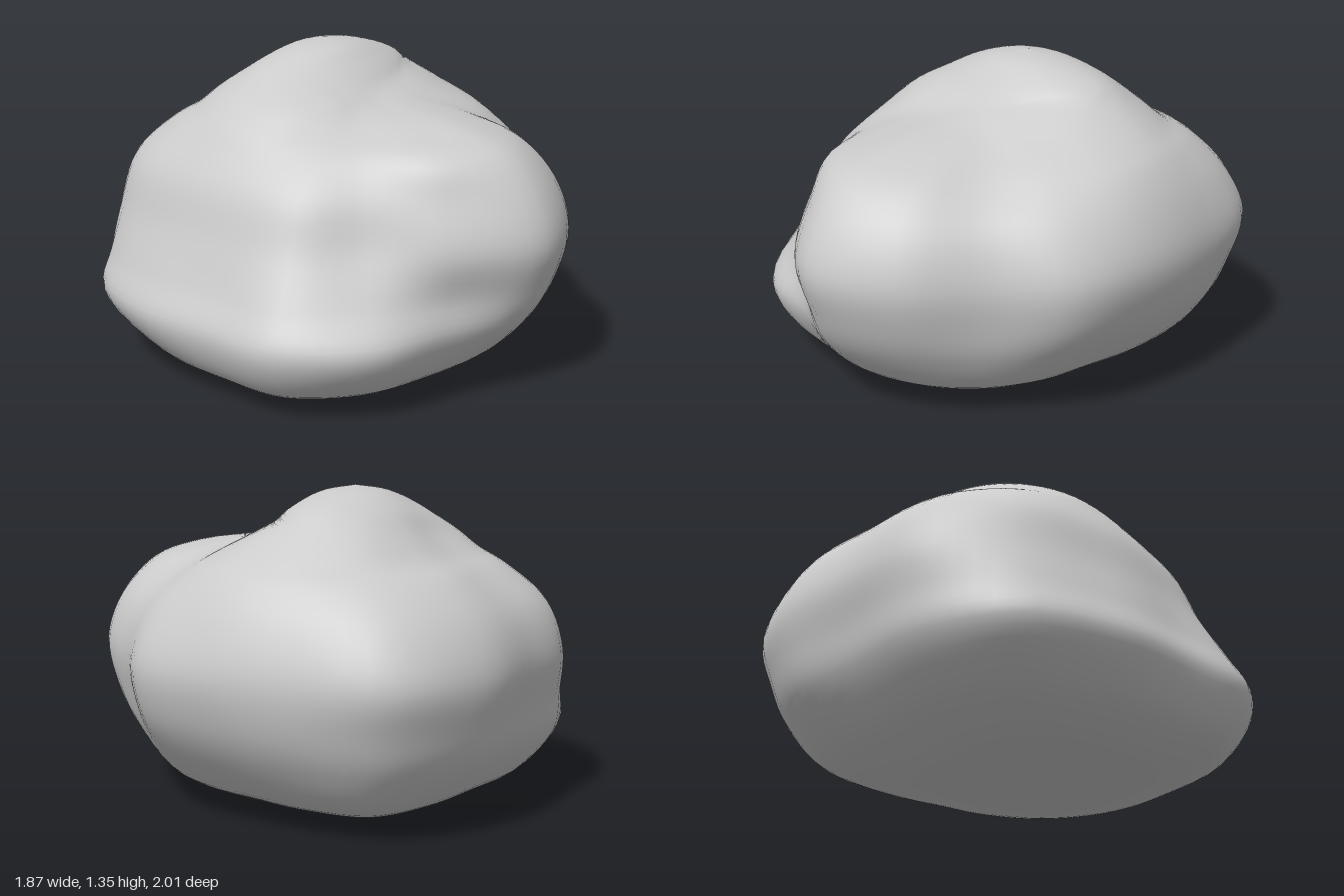
import * as THREE from 'three';
import { mergeVertices } from 'three/addons/utils/BufferGeometryUtils.js';

const SIDES = 16;   // control directions, from +x (0) over +z (4), -x (8), -z (12)
const COLS = 80;    // final columns around
const STEPS = 5;    // final rows between two cross-sections

// Horizontal cross-sections: height, then the radius in each control direction
const lower = [
  [0.12, [.61, .61, .63, .66, .69, .72, .83, .90, .86, .90, .95, .87, .78, .80, .84, .70]],
  [0.30, [.79, .78, .76, .82, .87, .83, .94, .99, .935, 1.01, 1.10, 1.02, .92, .98, 1.0, .87]],
  [0.46, [.88, .87, .81, .90, .95, .82, .84, .91, .87, .95, 1.06, 1.04, .96, 1.04, 1.07, .95]],
  [0.65, [.92, .90, .83, .94, 1.0, .85, .74, .80, .80, .87, 1.0, 1.05, .995, 1.07, 1.12, .98]],
];
const upper = [
  [0.85, [.86, .81, .76, .87, .93, .78, .67, .71, .73, .80, .93, .98, .93, .99, 1.03, .92]],
  [1.00, [.76, .66, .59, .72, .80, .70, .56, .57, .62, .69, .78, .81, .77, .84, .88, .82]],
  [1.07, [.66, .54, .44, .52, .60, .48, .41, .46, .55, .63, .68, .69, .65, .70, .76, .74]],
  [1.15, [.51, .34, .22, .17, .15, .16, .21, .32, .44, .53, .58, .59, .55, .60, .66, .63]],
];

// One closed ring of control points; scale and shift are in x and z
function ring(y, radii, cx = 0, cz = 0, sx = 1, sz = sx) {
  return Array.from({ length: SIDES }, (_, i) => {
    const a = (i / SIDES) * Math.PI * 2;
    const r = radii ? radii[i] : 1;
    return new THREE.Vector3(cx + Math.cos(a) * r * sx, y, cz + Math.sin(a) * r * sz);
  });
}

function rockGeometry() {
  const foot = lower[0][1];
  const rings = [
    // flat underside
    ring(0, null, -0.12, -0.07, 0),
    ring(0, foot, -0.12, -0.06, 0.55),
    ring(0.03, foot, -0.07, -0.02, 0.75),
    // body with the front bulge and the low side bulge
    ...[...lower, ...upper].map(([y, radii]) => ring(y, radii)),
    // rounded crest
    ring(1.25, null, 0.07, -0.22, 0.38, 0.24),
    ring(1.32, null, 0.06, -0.21, 0.18, 0.13),
    ring(1.345, null, 0.05, -0.21, 0),
  ];

  // Smooth each ring around, then each column upwards
  const around = rings.map((pts) => new THREE.CatmullRomCurve3(pts, true));
  const rows = (rings.length - 1) * STEPS;
  const positions = [];
  const indices = [];
  for (let c = 0; c < COLS; c++) {
    const column = new THREE.CatmullRomCurve3(around.map((curve) => curve.getPoint(c / COLS)));
    for (let r = 0; r <= rows; r++) {
      const p = column.getPoint(r / rows);
      positions.push(p.x, THREE.MathUtils.clamp(p.y, 0, 1.345), p.z);
    }
  }
  const at = (c, r) => (c % COLS) * (rows + 1) + r;
  for (let c = 0; c < COLS; c++) {
    for (let r = 0; r < rows; r++) {
      const a = at(c, r), b = at(c + 1, r), up = at(c, r + 1), upB = at(c + 1, r + 1);
      if (r > 0) indices.push(a, up, b);
      if (r < rows - 1) indices.push(b, up, upB);
    }
  }
  let geometry = new THREE.BufferGeometry();
  geometry.setAttribute('position', new THREE.Float32BufferAttribute(positions, 3));
  geometry.setIndex(indices);
  geometry = mergeVertices(geometry, 1e-5);
  geometry.computeVertexNormals();
  return geometry;
}

export function createModel() {
  const group = new THREE.Group();
  group.name = 'boulder';
  const rock = new THREE.Mesh(rockGeometry(), new THREE.MeshStandardMaterial({ color: 0xcccccc }));
  rock.name = 'rock';
  group.add(rock);
  return group;
}
